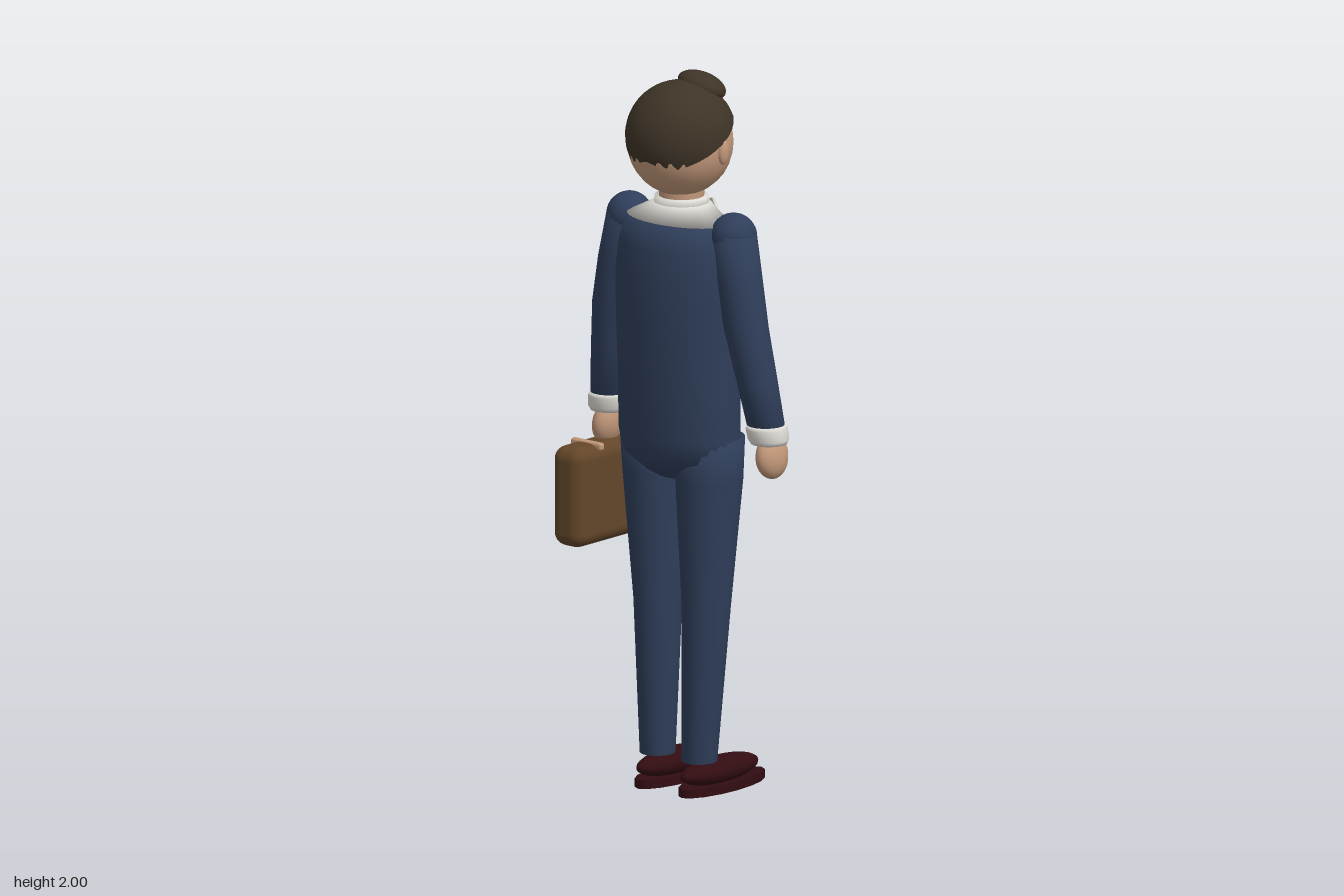
import * as THREE from 'three';
import { RoundedBoxGeometry } from 'three/addons/geometries/RoundedBoxGeometry.js';

const mat = (name, color, side = THREE.FrontSide) => {
  const m = new THREE.MeshStandardMaterial({ color, side });
  m.name = name;
  return m;
};

// Closed loft through horizontal ellipses [x, y, z, rx, rz], listed from top to bottom
function loft(rings, n = 24) {
  const pos = [], idx = [];
  const first = rings[0], last = rings[rings.length - 1];
  for (const [x, y, z, rx, rz] of rings)
    for (let j = 0; j < n; j++) {
      const a = (j / n) * Math.PI * 2;
      pos.push(x + rx * Math.cos(a), y, z + rz * Math.sin(a));
    }
  for (let i = 0; i < rings.length - 1; i++)
    for (let j = 0; j < n; j++) {
      const a = i * n + j, b = i * n + (j + 1) % n;
      idx.push(a, b, a + n, b, b + n, a + n);
    }
  const top = rings.length * n, end = (rings.length - 1) * n;
  pos.push(...first.slice(0, 3), ...last.slice(0, 3));
  for (let j = 0; j < n; j++) {
    const k = (j + 1) % n;
    idx.push(top, k, j, top + 1, end + j, end + k);
  }
  const g = new THREE.BufferGeometry();
  g.setAttribute('position', new THREE.Float32BufferAttribute(pos, 3));
  g.setIndex(idx);
  g.computeVertexNormals();
  return g;
}

// Linear lookup in rows [y, value, value...] listed from top to bottom
function lookup(rows, y) {
  let i = 0;
  while (i < rows.length - 2 && y < rows[i + 1][0]) i++;
  const a = rows[i], b = rows[i + 1];
  const t = THREE.MathUtils.clamp((y - a[0]) / (b[0] - a[0]), 0, 1);
  return a.slice(1).map((v, k) => v + (b[k + 1] - v) * t);
}

// Jacket sections: y, half width, centre z, half depth
const BODY = [
  [1.6, 0.165, 0.07, 0.1], [1.53, 0.192, 0.06, 0.128], [1.45, 0.203, 0.054, 0.145],
  [1.33, 0.198, 0.061, 0.139], [1.2, 0.19, 0.067, 0.131], [1.0, 0.19, 0.063, 0.127],
  [0.94, 0.18, 0.06, 0.118], [0.9, 0.125, 0.055, 0.09], [0.88, 0.08, 0.055, 0.06],
];
const chestZ = (x, y) => {
  const [w, c, d] = lookup(BODY, y);
  return c - d * Math.sqrt(Math.max(0, 1 - (x / w) ** 2));
};

// Thin cloth lying on the chest between two edges, rows [y, xA, xB]
function patch(rows, offset, side = 1) {
  const pos = [], idx = [], nu = 8, nv = 20;
  const y0 = rows[0][0], y1 = rows[rows.length - 1][0];
  for (let i = 0; i <= nv; i++) {
    const y = y0 + (y1 - y0) * i / nv;
    const [a, b] = lookup(rows, y).map(v => v * side).sort((p, q) => p - q);
    for (let j = 0; j <= nu; j++) {
      const x = a + (b - a) * j / nu;
      pos.push(x, y, chestZ(x, y) - offset);
      if (i < nv && j < nu) {
        const k = i * (nu + 1) + j, l = k + nu + 1;
        idx.push(k, k + 1, l, k + 1, l + 1, l);
      }
    }
  }
  const g = new THREE.BufferGeometry();
  g.setAttribute('position', new THREE.Float32BufferAttribute(pos, 3));
  g.setIndex(idx);
  g.computeVertexNormals();
  return g;
}

export function createModel() {
  const model = new THREE.Group();
  model.name = 'businessman';
  const D = THREE.DoubleSide;
  const suit = mat('navy suit', 0x2f3e5a, D), white = mat('white shirt', 0xdedcd6, D);
  const skin = mat('skin', 0xc2987a), hair = mat('dark brown hair', 0x3e3427, D);
  const shoe = mat('oxblood leather', 0x320d12), leather = mat('brown leather', 0x634629);
  const red = mat('red tie', 0xa01c30, D), dark = mat('black', 0x17120f);
  const lip = mat('lips', 0x8c3a36), maroon = mat('tie stripe', 0x65121f, D);

  const add = (name, geo, material, p = [0, 0, 0], r = [0, 0, 0]) => {
    const m = new THREE.Mesh(geo, material);
    m.name = name;
    m.position.set(...p);
    m.rotation.set(...r);
    model.add(m);
    return m;
  };
  const ball = (name, material, p, s, r) =>
    add(name, new THREE.SphereGeometry(1, 24, 16), material, p, r).scale.set(...s);

  // Jacket, shirt yoke, collar and neck
  add('jacket', loft(BODY.map(([y, w, c, d]) => [0, y, c, w, d]), 32), suit);
  add('shirtYoke', loft([[0, 1.602, 0.07, 0.163, 0.099], [0, 1.645, 0.056, 0.08, 0.078]], 32), white);
  add('collar', loft([[0, 1.662, 0.055, 0.075, 0.073], [0, 1.62, 0.055, 0.08, 0.078]]), white);
  add('neck', new THREE.CylinderGeometry(0.062, 0.062, 0.1, 24), skin, [0, 1.67, 0.055]);

  // Shirt front, lapels and tie
  add('shirtFront', patch([[1.603, -0.13, 0.13], [1.45, -0.075, 0.075], [1.17, -0.058, 0.058]], 0.004), white);
  for (const s of [-1, 1]) {
    add('lapel', patch([[1.603, 0.07, 0.135], [1.5, 0.05, 0.122], [1.4, 0.037, 0.088], [1.25, 0.02, 0.026]], 0.01, s), suit);
    add('collarPoint', new THREE.BoxGeometry(0.05, 0.03, 0.008), white, [s * 0.034, 1.628, -0.026], [0.2, s * -0.25, s * 0.35]);
  }
  add('tie', patch([[1.6, -0.014, 0.014], [1.28, -0.026, 0.026], [1.22, -0.02, 0.02]], 0.013), red);
  for (let i = 0; i < 5; i++) {
    const y = 1.54 - i * 0.07, w = 0.0155 + i * 0.0025;
    add('tieStripe', patch([[y, -w, w], [y - 0.012, -w, w]], 0.015), maroon);
  }
  ball('tieKnot', red, [0, 1.607, -0.034], [0.019, 0.02, 0.012]);
  for (const y of [1.24, 1.18, 1.1])
    ball('button', dark, [0, y, chestZ(0, y) - 0.012], [0.008, 0.008, 0.005]);
  add('pocketSquare', patch([[1.43, -0.122, -0.07], [1.415, -0.122, -0.07]], 0.008), white);

  // Head and face
  const HC = [0, 1.81, 0.06], HR = 0.145;
  const faceZ = (x, y) => HC[2] - Math.sqrt(HR * HR - x * x - (y - HC[1]) ** 2);
  ball('head', skin, HC, [HR, HR, HR]);
  add('hairCap', new THREE.SphereGeometry(0.152, 32, 16, 0, Math.PI * 2, 0, Math.PI / 2), hair, [0, 1.83, 0.058], [0.52, 0, 0]);
  ball('hairTuft', hair, [0.018, 1.96, -0.008], [0.073, 0.036, 0.062], [-0.25, 0, -0.2]);
  ball('nose', skin, [0, 1.787, -0.092], [0.015, 0.017, 0.016]);
  add('mouth', new THREE.BoxGeometry(0.036, 0.008, 0.008), lip, [0, 1.74, faceZ(0, 1.74)], [-0.45, 0, 0]);
  for (const s of [-1, 1]) {
    ball('ear', skin, [s * 0.145, 1.805, 0.05], [0.013, 0.036, 0.018]);
    ball('eye', dark, [s * 0.052, 1.815, faceZ(0.052, 1.815)], [0.014, 0.019, 0.007], [0, s * -0.37, 0]);
    add('eyebrow', new THREE.BoxGeometry(0.042, 0.011, 0.009), hair,
      [s * 0.053, 1.862, faceZ(0.053, 1.862)], [0.35, s * -0.4, s * 0.2]);
  }

  for (const s of [-1, 1]) {
    // Arm: shoulder, sleeve, cuff and hand
    ball('shoulder', suit, [s * 0.187, 1.577, 0.055], [0.064, 0.064, 0.064]);
    add('sleeve', loft([
      [s * 0.188, 1.585, 0.055, 0.062, 0.063], [s * 0.212, 1.46, 0.06, 0.064, 0.063],
      [s * 0.236, 1.33, 0.06, 0.062, 0.061], [s * 0.262, 1.18, 0.044, 0.056, 0.056],
      [s * 0.282, 1.055, 0.03, 0.051, 0.052]]), suit);
    add('cuff', loft([
      [s * 0.282, 1.06, 0.03, 0.053, 0.054], [s * 0.283, 1.05, 0.029, 0.057, 0.058],
      [s * 0.287, 1.02, 0.026, 0.057, 0.056], [s * 0.288, 1.008, 0.025, 0.05, 0.05]]), white);
    ball('hand', skin, [s * 0.294, 0.968, 0.02], [0.035, 0.06, 0.055], [0, 0, s * 0.12]);
    ball('thumb', skin, [s * 0.288, 0.975, -0.026], [0.017, 0.035, 0.02], [0.25, 0, 0]);

    // Leg and shoe
    add('trouserLeg', loft([
      [s * 0.098, 1.0, 0.052, 0.094, 0.1], [s * 0.095, 0.88, 0.05, 0.091, 0.095],
      [s * 0.087, 0.52, 0.053, 0.066, 0.068], [s * 0.075, 0.09, 0.068, 0.048, 0.05]]), suit);
    ball('shoeUpper', shoe, [s * 0.079, 0.053, -0.01], [0.051, 0.037, 0.152]);
    add('shoeSole', new THREE.CylinderGeometry(1, 1, 0.024, 16), shoe, [s * 0.079, 0.012, -0.02]).scale.set(0.058, 1, 0.166);
  }

  // Briefcase with top bands
  add('briefcase', new RoundedBoxGeometry(0.106, 0.28, 0.414, 5, 0.038), leather, [-0.292, 0.79, 0]);
  for (const z of [-0.112, 0.108])
    add('caseBand', new RoundedBoxGeometry(0.11, 0.022, 0.02, 3, 0.008), skin, [-0.292, 0.924, z]);
  return model;
}
